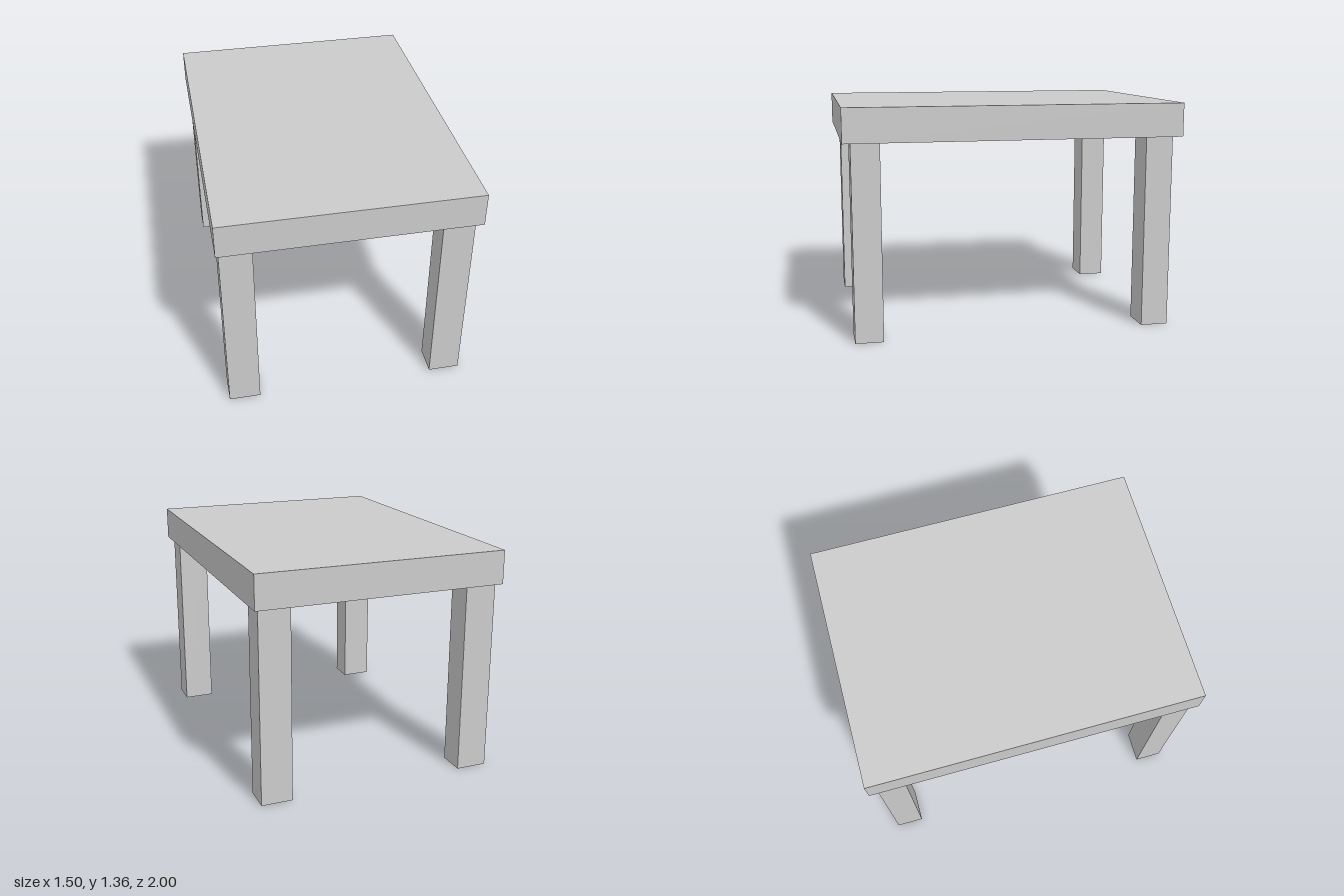
import * as THREE from 'three';

export function createModel() {
  const group = new THREE.Group();
  const material = new THREE.MeshStandardMaterial({ color: 0xcccccc, flatShading: true });
  const topBase = 1.157, topHeight = 0.2;

  const addBox = (name, w, h, d, x, y, z) => {
    const mesh = new THREE.Mesh(new THREE.BoxGeometry(w, h, d), material);
    mesh.name = name;
    mesh.position.set(x, y + h / 2, z);
    group.add(mesh);
  };

  // Thick slab top
  addBox('tableTop', 1.495, topHeight, 2, 0, topBase, 0);

  // Four rectangular legs, set slightly off centre
  for (const [xName, x] of [['Right', -0.636], ['Left', 0.622]]) {
    for (const [zName, z] of [['front', 0.871], ['back', -0.866]]) {
      addBox(`${zName}${xName}Leg`, 0.187, topBase, 0.165, x, 0, z);
    }
  }
  return group;
}
